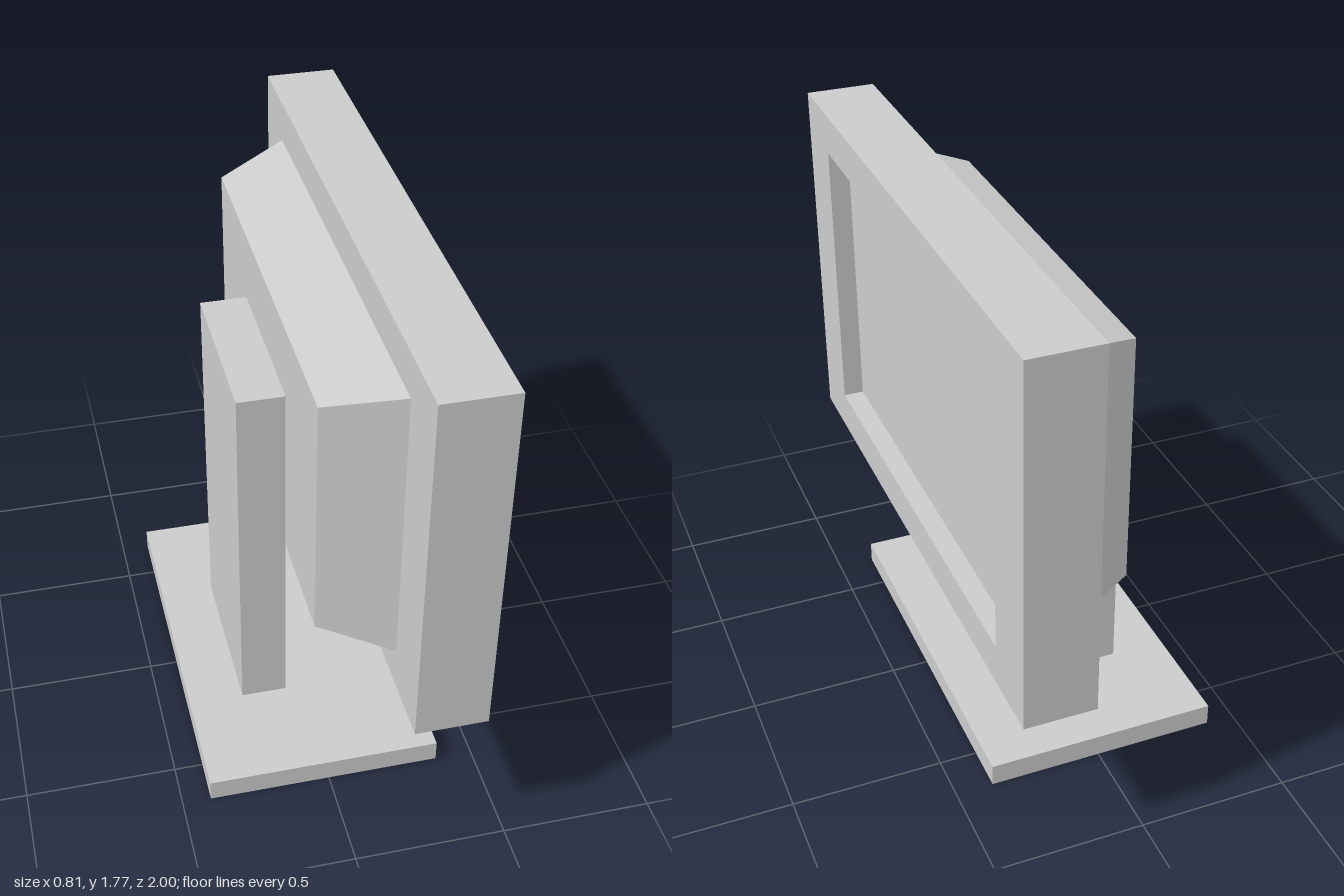
import * as THREE from 'three';

const material = new THREE.MeshStandardMaterial({ color: 0xcccccc, flatShading: true });

function part(name, geometry) {
  const mesh = new THREE.Mesh(geometry, material);
  mesh.name = name;
  return mesh;
}

// Box given by its extents on each axis
function block(name, [x0, x1], [y0, y1], [z0, z1]) {
  const g = new THREE.BoxGeometry(x1 - x0, y1 - y0, z1 - z0);
  g.translate((x0 + x1) / 2, (y0 + y1) / 2, (z0 + z1) / 2);
  return part(name, g);
}

function rectangle(path, halfWidth, y0, y1) {
  path.moveTo(-halfWidth, y0);
  path.lineTo(halfWidth, y0);
  path.lineTo(halfWidth, y1);
  path.lineTo(-halfWidth, y1);
  path.closePath();
  return path;
}

export function createModel() {
  const model = new THREE.Group();
  model.name = 'monitor';

  const panelBack = 0.17, panelFront = 0.405, recess = 0.07;
  const opening = { half: 0.778, y0: 0.68, y1: 1.638 };

  // Foot plate and upright
  model.add(block('base', [-0.405, 0.375], [0, 0.075], [-0.655, 0.652]));
  model.add(block('stand', [-0.22, -0.065], [0.075, 1.337], [-0.288, 0.286]));

  // Bezel: a frame around the screen opening, facing +x
  const outline = rectangle(new THREE.Shape(), 1, 0.543, 1.775);
  outline.holes.push(rectangle(new THREE.Path(), opening.half, opening.y0, opening.y1));
  const frame = new THREE.ExtrudeGeometry(outline, { depth: panelFront - panelBack, bevelEnabled: false });
  frame.rotateY(Math.PI / 2).translate(panelBack, 0, 0);
  model.add(part('bezel', frame));

  // Screen set back inside the bezel
  model.add(block('screen', [panelBack, panelFront - recess],
    [opening.y0, opening.y1], [-opening.half, opening.half]));

  // Rear housing: a box whose back face is drawn in
  const housing = block('rearHousing', [-0.065, panelBack],
    [opening.y0, opening.y1], [-opening.half, opening.half]);
  const p = housing.geometry.attributes.position;
  for (let i = 0; i < p.count; i++) {
    if (p.getX(i) > 0) continue;
    p.setY(i, p.getY(i) > 1 ? 1.575 : 0.742);
    p.setZ(i, Math.sign(p.getZ(i)) * 0.678);
  }
  housing.geometry.computeVertexNormals();
  model.add(housing);

  return model;
}
